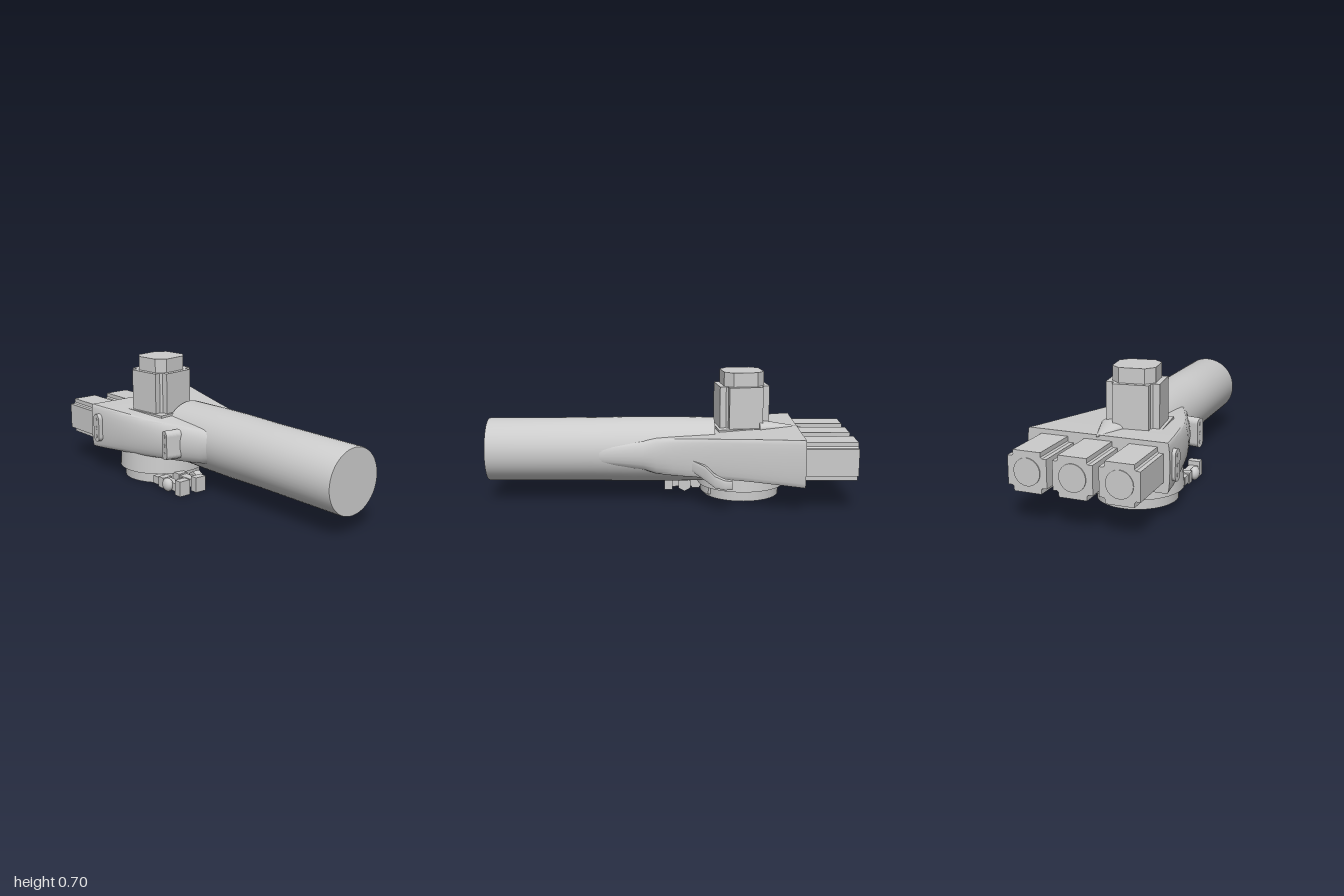
import * as THREE from 'three';
import { toCreasedNormals } from 'three/addons/utils/BufferGeometryUtils.js';

const grey = new THREE.MeshStandardMaterial({ color: 0xcccccc });

function add(parent, name, geometry, x = 0, y = 0, z = 0) {
  const mesh = new THREE.Mesh(geometry, grey);
  mesh.name = name;
  mesh.position.set(x, y, z);
  parent.add(mesh);
  return mesh;
}

// Loft along x. Station: [x, front z, back z, bottom y, top y, front bulge, back bulge]
function loft(stations, arc = 10) {
  const pos = [], idx = [], n = 2 * (arc + 1);
  for (const [x, zf, zb, yb, yt, bf = 0.004, bb = 0.004] of stations) {
    const mid = (yb + yt) / 2, h = (yt - yb) / 2;
    for (let side = 0; side < 2; side++) {
      for (let k = 0; k <= arc; k++) {
        const a = (k / arc - 0.5) * Math.PI;
        const c = 1 - Math.cos(a);
        pos.push(x, mid + (side ? -1 : 1) * h * Math.sin(a), side ? zb + bb * c : zf - bf * c);
      }
    }
  }
  const last = (stations.length - 1) * n;
  for (let j = 0; j < n; j++) {
    const k = (j + 1) % n;
    for (let i = 0; i < last; i += n) idx.push(i + j, i + n + j, i + n + k, i + j, i + n + k, i + k);
    if (j > 0 && j < n - 1) idx.push(0, j, j + 1, last, last + j + 1, last + j);
  }
  const g = new THREE.BufferGeometry();
  g.setAttribute('position', new THREE.Float32BufferAttribute(pos, 3));
  g.setIndex(idx);
  return toCreasedNormals(g, 0.6);
}

// Square bar along z with stepped corners (notch) or cut corners (chamfer)
function bar(half, cut, depth, stepped) {
  const pts = [];
  for (let q = 0; q < 4; q++) {
    const c = Math.round(Math.cos(q * Math.PI / 2)), s = Math.round(Math.sin(q * Math.PI / 2));
    const corner = [[half, half - cut]];
    if (stepped) corner.push([half - cut * 0.75, half - cut], [half - cut, half - cut * 0.75]);
    corner.push([half - cut, half]);
    for (const [x, y] of corner) pts.push(new THREE.Vector2(x * c - y * s, x * s + y * c));
  }
  return new THREE.ExtrudeGeometry(new THREE.Shape(pts), { depth, bevelEnabled: false });
}

// Upright oval plate with three screws
function screwPlate(parent, name, x, z, thickness, turn) {
  const plate = new THREE.Group();
  plate.name = name;
  const s = new THREE.Shape();
  s.absarc(0, 0.052, 0.03, 0, Math.PI);
  s.absarc(0, -0.052, 0.03, Math.PI, Math.PI * 2);
  add(plate, name + 'Base', new THREE.ExtrudeGeometry(s, { depth: thickness, bevelEnabled: false, curveSegments: 8 }));
  for (const y of [-0.05, 0, 0.05]) {
    add(plate, 'plateScrew', new THREE.CylinderGeometry(0.01, 0.01, 0.004, 10).rotateX(Math.PI / 2), 0, y, thickness);
  }
  plate.position.set(x, 0.272, z);
  plate.rotation.y = turn;
  parent.add(plate);
}

export function createModel() {
  const model = new THREE.Group();
  model.name = 'manifoldAssembly';

  // Main tube, swelling slightly where it meets the housing
  const tube = new THREE.LatheGeometry([
    [0, -0.25], [0.176, -0.25], [0.18, 0], [0.18, 0.2], [0.176, 0.42], [0.175, 0.99], [0.172, 1], [0, 1],
  ].map(([r, y]) => new THREE.Vector2(r, y)), 48);
  add(model, 'mainTube', toCreasedNormals(tube.rotateZ(-Math.PI / 2), 0.6), 0, 0.27, 0);

  // Fan-shaped housing
  add(model, 'fanHousing', loft([
    [-0.71, 0.373, -0.39, 0.145, 0.4, 0.012, 0.012],
    [-0.6, 0.366, -0.357, 0.15, 0.396, 0.018, 0.012],
    [-0.45, 0.348, -0.317, 0.158, 0.39, 0.025, 0.012],
    [-0.3, 0.322, -0.278, 0.163, 0.383, 0.03, 0.012],
    [-0.15, 0.281, -0.243, 0.165, 0.376, 0.04, 0.015],
    [-0.02, 0.235, -0.218, 0.167, 0.37, 0.05, 0.02],
    [0.07, 0.198, -0.205, 0.172, 0.364, 0.05, 0.03],
    [0.14, 0.168, -0.195, 0.19, 0.35, 0.04, 0.04],
    [0.38, 0.15, -0.177, 0.22, 0.32, 0.03, 0.02],
  ]));

  // Pointed ridge on top of the housing
  const ridge = new THREE.ConeGeometry(0.08, 0.235, 24).rotateZ(Math.PI / 2).scale(1, 0.45, 1);
  add(model, 'topRidge', ridge, -0.617, 0.395, 0);

  // Three connectors at the wide end
  for (const z of [-0.237, 0, 0.237]) {
    add(model, 'connector', bar(0.103, 0.03, 0.3, true).rotateY(Math.PI / 2), -0.995, 0.272, z);
    add(model, 'connectorFace', new THREE.CylinderGeometry(0.07, 0.07, 0.01, 24).rotateZ(Math.PI / 2), -0.995, 0.272, z);
  }

  // Turned actuator on top
  const actuator = new THREE.Group();
  actuator.name = 'actuator';
  actuator.position.set(-0.407, 0, 0.083);
  actuator.rotation.y = 0.13;
  model.add(actuator);
  const upright = (g) => g.rotateX(-Math.PI / 2);
  add(actuator, 'actuatorSeat', new THREE.BoxGeometry(0.31, 0.03, 0.31), 0, 0.378, 0);
  add(actuator, 'actuatorBody', upright(bar(0.139, 0.045, 0.26, true)), 0, 0.362, 0);
  add(actuator, 'actuatorCap', upright(bar(0.112, 0.045, 0.08, false)), 0, 0.62, 0);

  // Round hub and clamp band underneath
  add(model, 'hub', new THREE.CylinderGeometry(0.235, 0.245, 0.14, 40), -0.41, 0.13, 0.083);
  add(model, 'hubFoot', new THREE.CylinderGeometry(0.215, 0.215, 0.07, 40), -0.41, 0.035, 0.085);
  const band = new THREE.Shape();
  band.absarc(0, 0, 0.23, -0.6, 0.6);
  band.absarc(0, 0, 0.2, 0.6, -0.6, true);
  add(model, 'clampBand', new THREE.ExtrudeGeometry(band, { depth: 0.045, bevelEnabled: false }).rotateX(-Math.PI / 2), -0.41, 0.015, 0.085);

  // Clamp ears and cross bolt
  for (const z of [0.145, 0.257]) {
    add(model, 'clampArm', new THREE.BoxGeometry(0.22, 0.045, 0.05), -0.12, 0.038, z);
    add(model, 'clampEar', new THREE.BoxGeometry(0.045, 0.085, 0.068), 0.002, 0.0425, z);
    add(model, 'clampLug', new THREE.BoxGeometry(0.045, 0.06, 0.06), -0.155, 0.038, z);
  }
  const alongZ = (r, len, sides) => new THREE.CylinderGeometry(r, r, len, sides).rotateX(Math.PI / 2);
  add(model, 'clampBolt', alongZ(0.018, 0.22, 12), -0.09, 0.042, 0.19);
  add(model, 'boltNut', toCreasedNormals(alongZ(0.04, 0.045, 6), 0.5), -0.09, 0.042, 0.087);
  add(model, 'boltHead', new THREE.SphereGeometry(0.038, 16, 10).scale(1, 1, 0.7), -0.09, 0.042, 0.288);

  // Screw plates on the front flank
  screwPlate(model, 'outerPlate', -0.64, 0.36, 0.028, -0.06);
  screwPlate(model, 'innerPlate', -0.065, 0.225, 0.09, -0.2);

  // Curved hook on the back flank
  add(model, 'backHook', loft([
    [-0.33, -0.335, -0.37, 0.133, 0.18],
    [-0.29, -0.315, -0.37, 0.132, 0.182],
    [-0.24, -0.28, -0.352, 0.138, 0.2],
    [-0.19, -0.24, -0.3, 0.165, 0.24],
    [-0.12, -0.2, -0.235, 0.2, 0.26],
  ], 6));

  return model;
}
